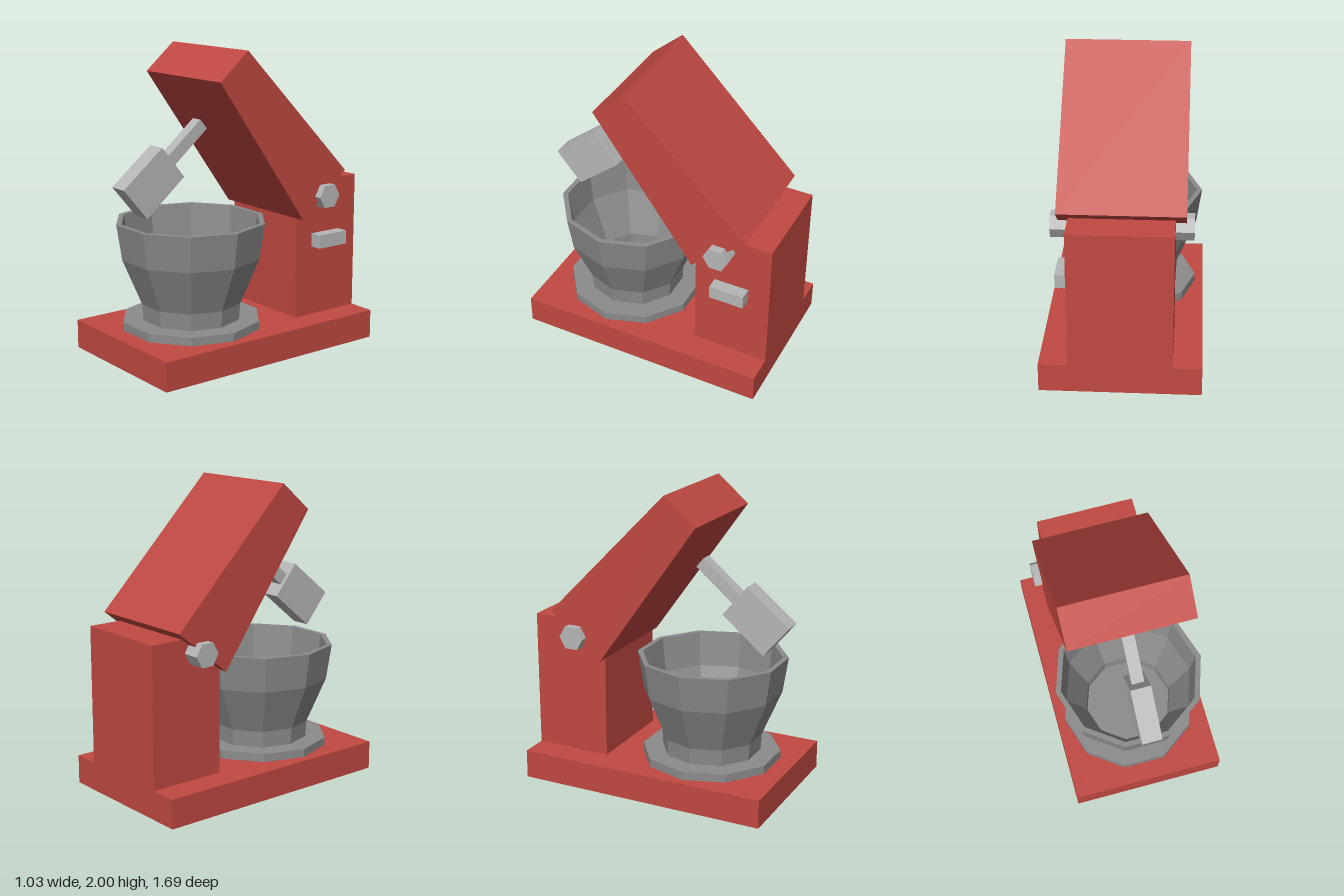
import * as THREE from 'three';

const mat = (name, color, opts = {}) => {
  const m = new THREE.MeshStandardMaterial({ color, flatShading: true, ...opts });
  m.name = name;
  return m;
};

export function createModel() {
  const group = new THREE.Group();
  const red = mat('red enamel', 0xc04842);
  const steel = mat('light steel', 0xb6b6b6);
  const bowlGrey = mat('bowl grey', 0x8b8b8b);

  const add = (name, geometry, material, x = 0, y = 0, z = 0) => {
    const mesh = new THREE.Mesh(geometry, material);
    mesh.name = name;
    mesh.position.set(x, y, z);
    group.add(mesh);
    return mesh;
  };

  // Box given by its [min, max] range on each axis
  const block = (name, [x0, x1], [y0, y1], [z0, z1], material) =>
    add(name, new THREE.BoxGeometry(x1 - x0, y1 - y0, z1 - z0), material,
      (x0 + x1) / 2, (y0 + y1) / 2, (z0 + z1) / 2);

  // Side outline of [z, y] points, extruded across x
  const slab = (name, points, halfWidth, material) => {
    const shape = new THREE.Shape(points.map(([z, y]) => new THREE.Vector2(z, y)));
    const geo = new THREE.ExtrudeGeometry(shape, { depth: halfWidth * 2, bevelEnabled: false });
    geo.translate(0, 0, -halfWidth).rotateY(-Math.PI / 2);
    return add(name, geo, material);
  };

  // Stand
  block('base', [-0.515, 0.515], [0, 0.19], [-0.845, 0.845], red);
  block('column', [-0.33, 0.33], [0.19, 1.105], [-0.845, -0.33], red);

  // Raised tilting head
  slab('head', [[-0.33, 0.87], [0.345, 1.82], [0.133, 2], [-0.69, 1.163]], 0.398, red);

  // Hinge pin and speed lever
  const pin = new THREE.CylinderGeometry(0.085, 0.085, 0.894, 6).rotateZ(Math.PI / 2);
  add('hingePin', pin, steel, 0, 1.015, -0.515);
  block('speedLever', [0.32, 0.412], [0.66, 0.75], [-0.7, -0.465], steel);

  // Beater and its shaft
  slab('beater', [[0.665, 0.96], [0.835, 1.163], [0.547, 1.397], [0.382, 1.195]], 0.066, steel);
  slab('beaterShaft', [[0.183, 1.48], [0.46, 1.25], [0.512, 1.312], [0.235, 1.542]], 0.04, steel);

  // Ten-sided bowl, outer wall up and inner wall down
  const bowlZ = 0.286;
  const profile = [
    [0, 0.245], [0.326, 0.245], [0.333, 0.355], [0.46, 0.66], [0.495, 0.895],
    [0.46, 0.895], [0.43, 0.665], [0.3, 0.36], [0.295, 0.28], [0, 0.28],
  ].map(([r, y]) => new THREE.Vector2(r, y));
  add('bowl', new THREE.LatheGeometry(profile, 10, Math.PI / 2), bowlGrey, 0, 0, bowlZ);
  add('bowlPlate', new THREE.CylinderGeometry(0.459, 0.459, 0.055, 10, 1, false, Math.PI / 2),
    bowlGrey, 0, 0.2175, bowlZ);

  return group;
}
